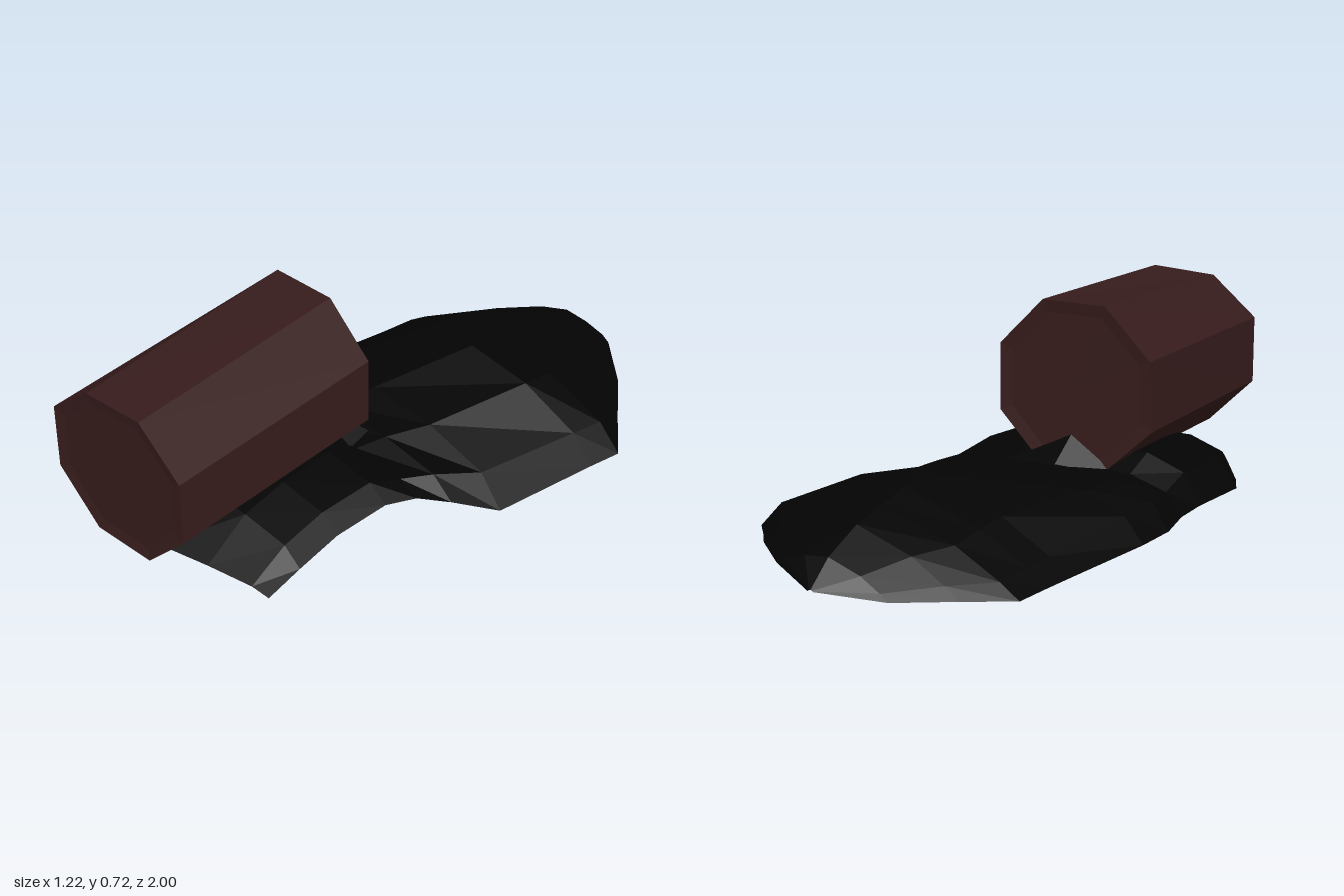
import * as THREE from 'three';

// Skins a list of rows of [x, y, z] points; outside is up when rows run +z and columns +x.
function loft(rows, closed) {
  const n = rows[0].length;
  const index = [];
  for (let j = 0; j < rows.length - 1; j++) {
    for (let i = 0; i < (closed ? n : n - 1); i++) {
      const k = (i + 1) % n;
      const a = j * n + i, b = a + n, c = j * n + k, d = c + n;
      index.push(a, b, c, c, b, d);
    }
  }
  const g = new THREE.BufferGeometry();
  g.setAttribute('position', new THREE.Float32BufferAttribute(rows.flat(2), 3));
  g.setIndex(index);
  const flat = g.toNonIndexed();
  flat.computeVertexNormals();
  return flat;
}

// Curved hollow shell: each station is z, left rim x y, crest x y, right rim x y, rim setback.
function shellGeometry() {
  const stations = [
    [-1, 0.05, 0.055, 0.06, 0.06, 0.07, 0.055, 0],
    [-0.92, -0.16, 0.035, 0.05, 0.14, 0.24, 0.09, 0],
    [-0.77, -0.31, 0.02, 0.05, 0.2, 0.4, 0.085, 0],
    [-0.64, -0.44, 0.005, 0.05, 0.225, 0.5, 0.06, 0],
    [-0.51, -0.46, 0.01, 0.05, 0.25, 0.605, 0.035, 0],
    [-0.4, -0.48, 0.015, 0.05, 0.265, 0.575, 0.03, 0],
    [-0.05, -0.545, 0.03, -0.08, 0.217, 0.48, 0.003, 0],
    [0.09, -0.565, 0.04, -0.13, 0.2, 0.39, 0.075, 0],
    [0.19, -0.56, 0.06, -0.15, 0.185, 0.33, 0.12, 0],
    [0.3, -0.57, 0.07, -0.15, 0.225, 0.295, 0.14, 0],
    [0.5, -0.61, 0.085, -0.15, 0.22, 0.275, 0.13, 0],
    [0.67, -0.53, 0.06, -0.15, 0.195, 0.277, 0.105, 0],
    [0.89, -0.43, 0.08, -0.12, 0.11, 0.28, 0.08, 0.08],
  ];
  const rows = stations.map(([z, xl, yl, xm, ym, xr, yr, back]) => {
    // the flanks slope evenly at the rear and become steeper towards the front
    const f = THREE.MathUtils.clamp((z + 0.4) / 0.7, 0, 1);
    const mix = (a, b) => a + (b - a) * f;
    const side = (x, y, t, h) => [x + (xm - x) * t, y + (ym - y) * h, z - back * (1 - t)];
    return [
      side(xl, yl, 0, 0), side(xl, yl, 0.14, mix(0.22, 0.68)), side(xl, yl, 0.46, mix(0.62, 1)),
      side(xl, yl, 1, 1),
      side(xr, yr, 0.55, mix(0.84, 0.95)), side(xr, yr, 0.15, mix(0.42, 0.65)), side(xr, yr, 0, 0),
    ];
  });
  return loft(rows, false);
}

// Eight-sided barrel with slightly dished ends.
function barrelGeometry() {
  const back = [[-0.27, 0.725], [-0.04, 0.725], [0.122, 0.56], [0.122, 0.33],
    [-0.04, 0.165], [-0.27, 0.165], [-0.45, 0.33], [-0.437, 0.56]];
  const front = [[-0.27, 0.69], [-0.04, 0.702], [0.122, 0.555], [0.122, 0.33],
    [-0.04, 0.165], [-0.27, 0.165], [-0.433, 0.325], [-0.433, 0.555]];
  const cx = -0.16, cy = 0.44;
  const ring = (points, s, z) => points.map(([x, y]) => [cx + (x - cx) * s, cy + (y - cy) * s, z]);
  return loft([
    ring(back, 0, 0.197), ring(back, 0.85, 0.197), ring(back, 1, 0.19),
    ring(front, 1, 1), ring(front, 0.85, 0.993), ring(front, 0, 0.993),
  ], true);
}

// Small pointed lip against the rear end of the barrel.
function lipGeometry() {
  return loft([
    [[-0.34, 0.17, 0.1], [-0.15, 0.205, 0.08], [0.05, 0.185, 0.1]],
    [[-0.32, 0.16, 0.2], [-0.15, 0.28, 0.19], [0.05, 0.18, 0.2]],
  ], false);
}

export function createModel() {
  const black = new THREE.MeshStandardMaterial({ color: 0x030303, side: THREE.DoubleSide, flatShading: true });
  black.name = 'black';
  const brown = new THREE.MeshStandardMaterial({ color: 0x371c1c, flatShading: true });
  brown.name = 'dark brown';

  const model = new THREE.Group();
  const add = (name, geometry, material) => {
    const mesh = new THREE.Mesh(geometry, material);
    mesh.name = name;
    model.add(mesh);
  };
  add('shell', shellGeometry(), black);
  add('lip', lipGeometry(), black);
  add('barrel', barrelGeometry(), brown);
  return model;
}
